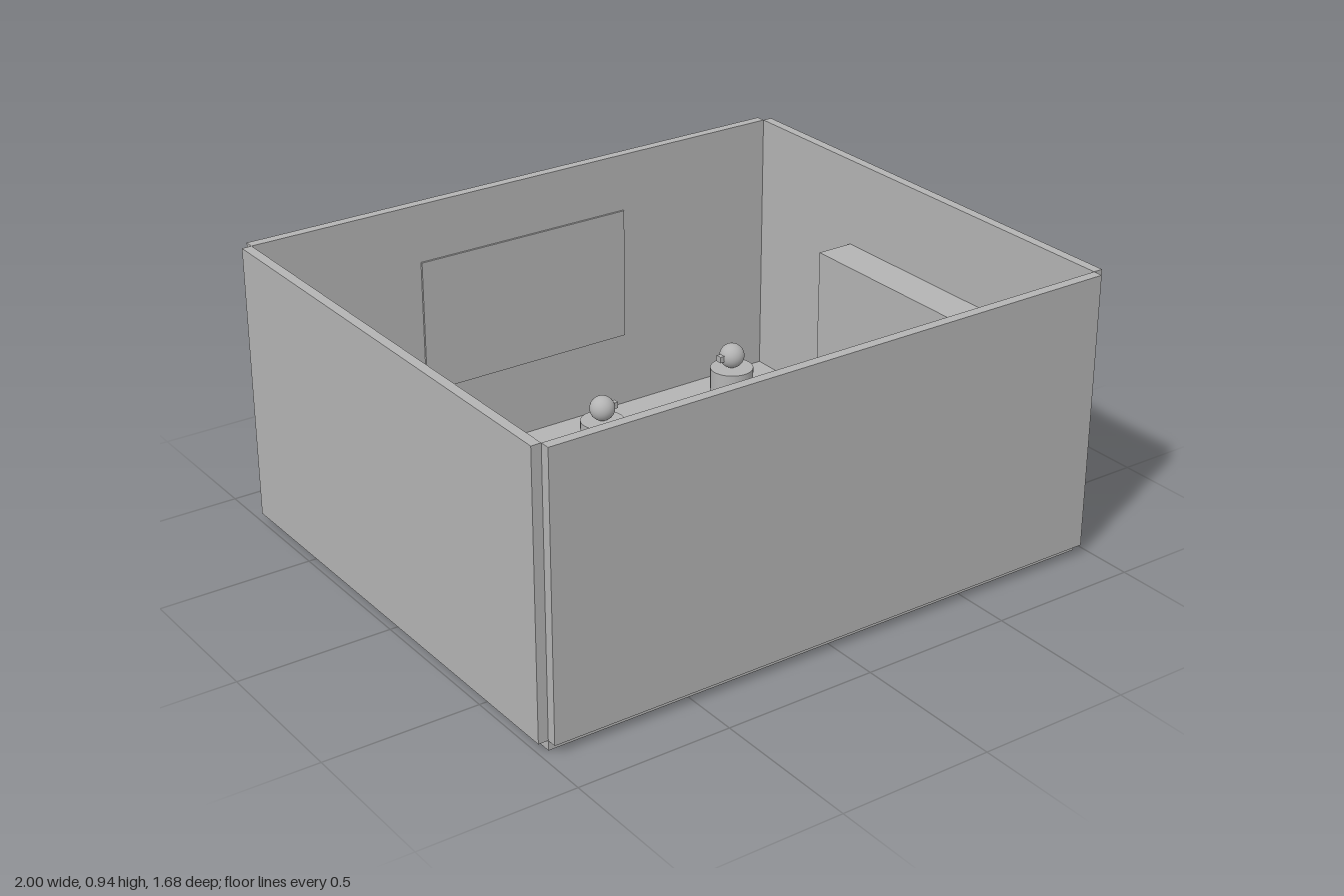
import * as THREE from 'three';

export function createModel() {
  const root = new THREE.Group();
  root.name = 'room';
  const grey = new THREE.MeshStandardMaterial({ color: 0xb3b3b3 });
  grey.name = 'plain grey';

  function add(parent, name, geometry, x = 0, y = 0, z = 0) {
    const mesh = new THREE.Mesh(geometry, grey);
    mesh.name = name;
    mesh.position.set(x, y, z);
    parent.add(mesh);
    return mesh;
  }
  // Box given by its extents along each axis
  function box(name, [x0, x1], [y0, y1], [z0, z1]) {
    return add(root, name, new THREE.BoxGeometry(x1 - x0, y1 - y0, z1 - z0),
      (x0 + x1) / 2, (y0 + y1) / 2, (z0 + z1) / 2);
  }

  // Shell: inner half sizes, outer half sizes, floor level and wall top
  const X = 0.968, Z = 0.806, T = 0.032, TOP = 0.937;
  box('floor', [-X, X], [0, T], [-Z, Z]);
  box('leftWall', [X, X + T], [T, TOP], [-Z, Z]);
  box('rightWall', [-X - T, -X], [T, TOP], [-Z, Z]);
  box('frontWall', [-X, X], [T, TOP], [Z, Z + T]);
  box('backWall', [-X, X], [T, TOP], [-Z - T, -Z]);

  // Thin panels on the inner wall faces
  box('wallBoard', [-0.387, 0.387], [0.29, 0.742], [-Z, -Z + 0.007]);
  box('door', [0.339, 0.629], [T, 0.68], [Z - 0.007, Z]);

  // Furniture
  box('counter', [-0.952, -0.73], [T, 0.323], [-0.419, 0.419]);
  box('cabinet', [0.839, X], [T, 0.645], [-0.323, 0.323]);
  box('table', [-0.143, 0.143], [T, 0.28], [-0.143, 0.143]);

  // Two figures facing each other across the table
  function figure(name, side, bodyTop) {
    const group = new THREE.Group();
    group.name = name;
    group.position.x = side * 0.242;
    root.add(group);
    const height = bodyTop - T;
    add(group, 'body', new THREE.CylinderGeometry(0.067, 0.067, height, 32), 0, T + height / 2, 0);
    add(group, 'head', new THREE.SphereGeometry(0.039, 32, 20), 0, bodyTop + 0.04, 0);
    add(group, 'nose', new THREE.BoxGeometry(0.02, 0.02, 0.02), -side * 0.041, bodyTop + 0.04, 0);
  }
  figure('rightFigure', -1, 0.47);
  figure('leftFigure', 1, 0.515);

  return root;
}
